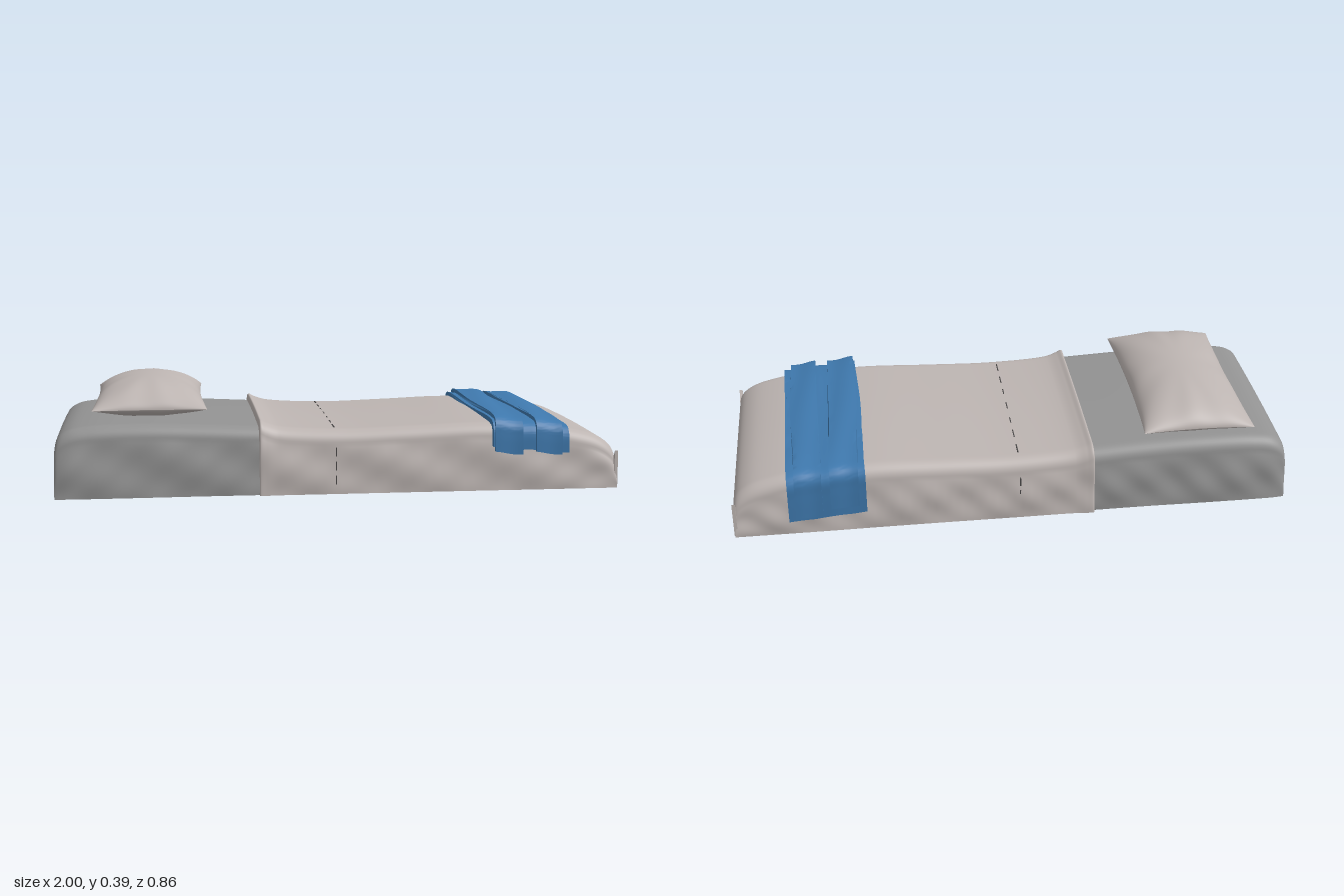
import * as THREE from 'three';
import { toCreasedNormals } from 'three/addons/utils/BufferGeometryUtils.js';
import { ParametricGeometry } from 'three/addons/geometries/ParametricGeometry.js';

const mat = (name, color) => {
  const m = new THREE.MeshStandardMaterial({ color, side: THREE.DoubleSide });
  m.name = name;
  return m;
};

export function createModel() {
  const linen = mat('paleLinen', 0xbdb5b2);
  const grey = mat('greySheet', 0x939393);
  const blue = mat('blueCloth', 0x3f79ae);
  const dark = mat('darkThread', 0x4a4848);
  const group = new THREE.Group();

  const add = (name, geometry, material, parent = group) => {
    const mesh = new THREE.Mesh(geometry, material);
    mesh.name = name;
    parent.add(mesh);
    return mesh;
  };
  const surface = (fn, nu, nv) => {
    const g = new ParametricGeometry(fn, nu, nv);
    g.computeVertexNormals();
    return g;
  };

  // Open-bottomed cloth shell lofted through [x, height, halfWidth] arches
  const shell = (sections, seed) => {
    const curve = new THREE.CatmullRomCurve3(sections.map(s => new THREE.Vector3(...s)));
    return surface((u, v, out) => {
      const { x, y: h0, z: w } = curve.getPoint(u);
      const h = Math.max(h0, 0);
      const r = Math.min(0.05, h * 0.45);
      const side = v < 0.5 ? 1 : -1;
      const s = v < 0.5 ? v : 1 - v;
      let y, z;
      if (s < 0.24) {                       // hanging side with soft creases
        const q = s / 0.24;
        y = (h - r) * q;
        z = w - 0.018 * q * q + Math.min(1, h / 0.2) * Math.sin(Math.PI * q)
          * (0.006 * Math.sin(15 * x + seed + side + 3 * q) + 0.003 * Math.sin(41 * x - 6 * q));
      } else if (s < 0.36) {                // rounded upper edge
        const a = (s - 0.24) / 0.12 * Math.PI / 2;
        y = h - r + r * Math.sin(a);
        z = w - 0.018 - r + r * Math.cos(a);
      } else {                              // top
        const q = (s - 0.36) / 0.14;
        y = h + Math.min(1, h / 0.2) * 0.005 * Math.sin(q * Math.PI / 2);
        z = (w - 0.018 - r) * (1 - q);
      }
      out.set(x, y, z * side);
    }, 96, 80);
  };

  // Mattress: grey head half and pale cover with a turned-over hem
  add('headSheet', shell([
    [-0.985, 0, 0.39], [-0.996, 0.08, 0.39], [-0.998, 0.17, 0.39], [-0.985, 0.21, 0.392],
    [-0.95, 0.234, 0.395], [-0.88, 0.247, 0.396], [-0.7, 0.252, 0.396],
    [-0.5, 0.246, 0.394], [-0.27, 0.235, 0.395]], 0.5), grey);
  add('bedCover', shell([
    [-0.29, 0.236, 0.408], [-0.284, 0.259, 0.411], [-0.262, 0.25, 0.41], [-0.22, 0.237, 0.407],
    [0, 0.224, 0.407], [0.25, 0.23, 0.407], [0.5, 0.238, 0.408], [0.7, 0.228, 0.41],
    [0.85, 0.207, 0.41], [0.94, 0.178, 0.41], [0.985, 0.14, 0.41],
    [0.996, 0.09, 0.41], [0.98, 0, 0.405]], 2), linen);

  // Tucked corner folds at the foot
  for (const s of [1, -1]) {
    const f = new THREE.Shape();
    f.moveTo(s * 0.405, 0.004);
    f.lineTo(s * 0.404, 0.135);
    f.quadraticCurveTo(s * 0.37, 0.07, s * 0.24, 0.004);
    const g = new THREE.ExtrudeGeometry(f, { depth: 0.012, bevelEnabled: false, curveSegments: 10 });
    g.rotateY(Math.PI / 2).translate(0.986, 0, 0);
    add(s > 0 ? 'cornerFoldBack' : 'cornerFoldFront', g, linen);
  }

  // Stitched seam across the cover
  const seam = new THREE.Group();
  seam.name = 'seam';
  group.add(seam);
  for (let i = -3; i <= 3; i++) {
    add('topStitch', new THREE.BoxGeometry(0.004, 0.004, 0.05), dark, seam)
      .position.set(-0.02, 0.2275 - 0.0005 * Math.abs(i), i * 0.1);
  }
  for (const s of [1, -1]) for (const y of [0.05, 0.1, 0.15]) {
    add('sideStitch', new THREE.BoxGeometry(0.004, 0.03, 0.008), dark, seam)
      .position.set(-0.02, y, s * 0.403);
  }

  // Straps under the bed
  for (const x of [-0.27, 0.25]) {
    add('underStrap', new THREE.BoxGeometry(0.04, 0.005, 0.8), grey).position.set(x, 0.004, 0);
  }

  // Pillow: two puffed halves meeting at a seam with pinched edges
  const pillow = new THREE.Group();
  pillow.name = 'pillow';
  group.add(pillow);
  const half = height => surface((u, v, out) => {
    const a = Math.sin((u - 0.5) * Math.PI), b = Math.sin((v - 0.5) * Math.PI);
    const puff = Math.pow(Math.max(0, 1 - a * a), 0.55) * Math.pow(Math.max(0, 1 - Math.abs(b) ** 3), 0.55);
    const edge = Math.max(Math.abs(a), Math.abs(b));
    const crease = 0.07 * Math.sin(9 * Math.atan2(b, a) + 1) * edge ** 3;
    out.set(a * (0.188 + 0.012 * b * b), 0.3 + height * puff * (1 + crease),
      -b * (0.353 + 0.012 * a * a));
  }, 40, 48);
  add('pillowTop', half(0.09), linen, pillow);
  add('pillowBottom', half(-0.045), linen, pillow);
  pillow.position.set(-0.668, 0, -0.012);

  // Folded throw: cloth bands draped over both sides, sloping down to the foot
  const band = (name, x0, x1, t, wide, top, front, back, skew) => {
    const path = [
      [wide + 0.004, front, 1, 0], [wide + 0.002, (front + top) / 2, 1, 0],
      [wide - 0.002, top - 0.035, 1, 0.2], [wide - 0.022, top - 0.012, 0.7, 0.7], [wide - 0.08, top - 0.003, 0, 1],
      [0.15, top, 0, 1], [-0.15, top, 0, 1],
      [-wide + 0.08, top - 0.003, 0, 1], [-wide + 0.022, top - 0.012, -0.7, 0.7], [-wide + 0.002, top - 0.035, -1, 0.2],
      [-wide - 0.002, (back + top) / 2, -1, 0], [-wide - 0.004, back, -1, 0]];
    const line = d => new THREE.CatmullRomCurve3(path.map(([z, y, nz, ny]) =>
      new THREE.Vector3(-(z - nz * d), y - ny * d, 0))).getPoints(55);
    const outline = [...line(0), ...line(t).reverse()].map(p => new THREE.Vector2(p.x, p.y));
    const g = new THREE.ExtrudeGeometry(new THREE.Shape(outline),
      { depth: x1 - x0, steps: 6, bevelEnabled: false });
    g.rotateY(Math.PI / 2).translate(x0, 0, 0);
    const p = g.attributes.position;
    for (let i = 0; i < p.count; i++) {
      const x = p.getX(i), y = p.getY(i), z = p.getZ(i);
      const ripple = 0.003 * Math.sin(45 * x + 5 * z);
      p.setXYZ(i, x + skew * z + 0.004 * Math.sin(9 * z + 20 * x0),
        y - 0.09 * (x - 0.55) + ripple, z + Math.sign(z) * ripple * Math.min(1, Math.abs(z) * 2));
    }
    add(name, toCreasedNormals(g, 0.7), blue, blanket);
  };
  const blanket = new THREE.Group();
  blanket.name = 'foldedThrow';
  group.add(blanket);
  band('throwBase', 0.53, 0.805, 0.022, 0.412, 0.255, 0.155, 0.075, 0.012);
  band('throwLeftFold', 0.545, 0.645, 0.014, 0.422, 0.27, 0.14, 0.11, -0.01);
  band('throwRightFold', 0.69, 0.785, 0.014, 0.422, 0.272, 0.15, 0.09, 0.015);

  return group;
}
